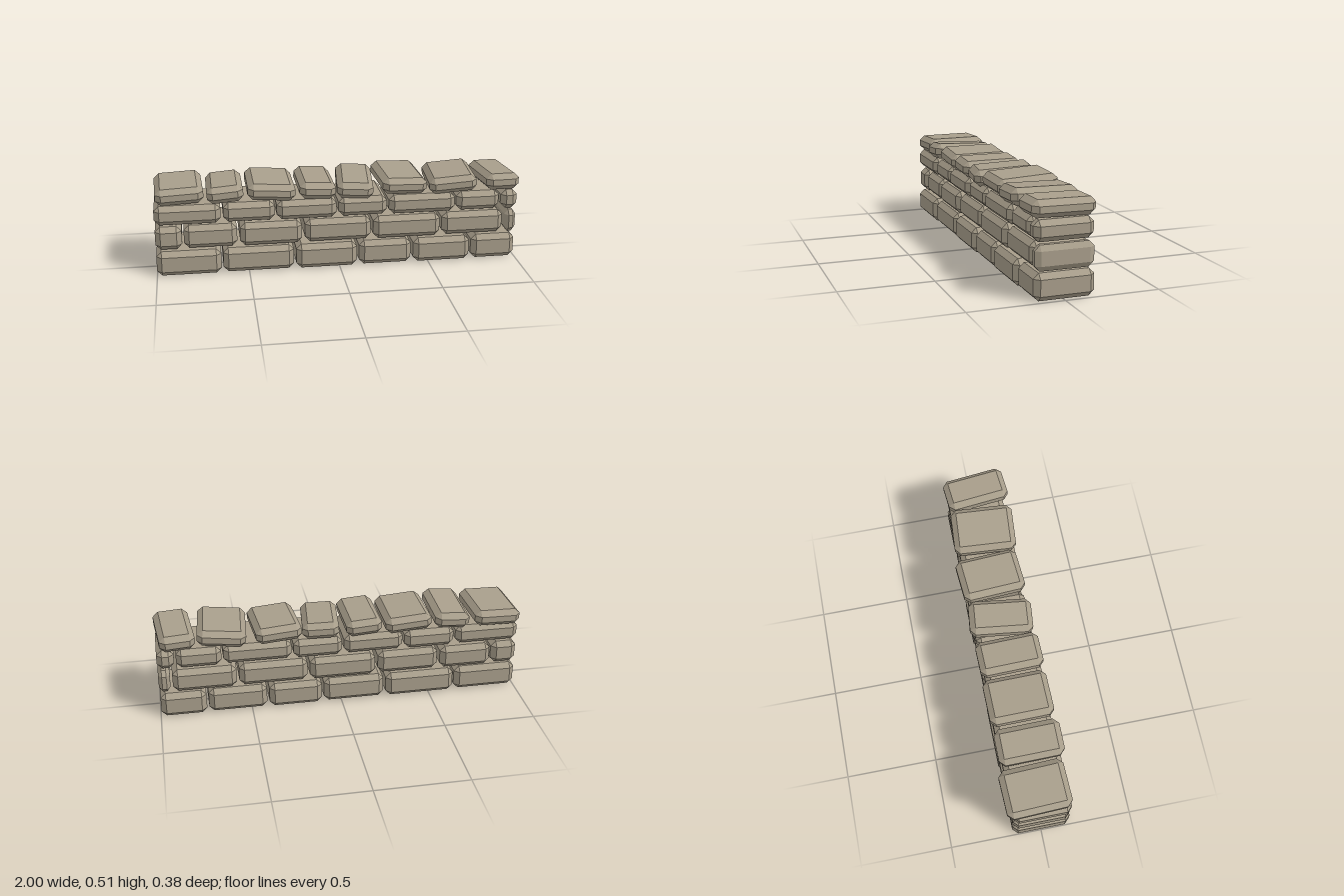
import * as THREE from 'three';

const stone = new THREE.MeshStandardMaterial({ color: 0xa89e8b, side: THREE.DoubleSide });
stone.name = 'weathered stone';

// Box with every edge and corner bevelled; the base can be left open
function bevelledBox(w, h, d, bevel, openBase = false) {
  const half = [w / 2, h / 2, d / 2];
  const cut = half.map((v) => Math.min(bevel, v * 0.62));
  const out = [];

  // Corner point lying on the face of one axis
  const point = (axis, signs) => new THREE.Vector3(
    ...signs.map((s, i) => s * (half[i] - (i === axis ? 0 : cut[i]))));

  // Add a convex polygon wound to face outwards
  const face = (...p) => {
    const normal = p[1].clone().sub(p[0]).cross(p[2].clone().sub(p[0]));
    if (normal.dot(p[0]) < 0) p.reverse();
    for (let i = 1; i < p.length - 1; i++) {
      for (const v of [p[0], p[i], p[i + 1]]) out.push(v.x, v.y, v.z);
    }
  };

  for (let a = 0; a < 3; a++) {
    const b = (a + 1) % 3, c = (a + 2) % 3;
    const signs = (sa, sb, sc) => {
      const s = [0, 0, 0];
      s[a] = sa; s[b] = sb; s[c] = sc;
      return s;
    };
    for (const s of [-1, 1]) {
      // Flat side
      if (!(openBase && a === 1 && s === -1)) {
        face(...[[-1, -1], [1, -1], [1, 1], [-1, 1]].map(([u, v]) => point(a, signs(s, u, v))));
      }
      // Bevels between sides a and b
      for (const t of [-1, 1]) {
        face(point(a, signs(s, t, -1)), point(a, signs(s, t, 1)),
          point(b, signs(s, t, 1)), point(b, signs(s, t, -1)));
      }
    }
  }
  // Corner triangles
  for (const x of [-1, 1]) for (const y of [-1, 1]) for (const z of [-1, 1]) {
    face(...[0, 1, 2].map((a) => point(a, [x, y, z])));
  }

  const geometry = new THREE.BufferGeometry();
  geometry.setAttribute('position', new THREE.Float32BufferAttribute(out, 3));
  geometry.computeVertexNormals();
  return geometry;
}

export function createModel() {
  const wall = new THREE.Group();
  wall.name = 'stoneWall';

  // Level courses: each stone is [left x, right x]
  const courses = [
    { name: 'bottomCourse', y0: 0, y1: 0.14, depth: 0.317, z: 0, open: true,
      spans: [[-1, -0.65], [-0.64, -0.253], [-0.24, 0.097], [0.11, 0.402], [0.415, 0.735], [0.747, 0.995]] },
    { name: 'secondCourse', y0: 0.15, y1: 0.28, depth: 0.309, z: -0.003,
      spans: [[-1, -0.857], [-0.847, -0.56], [-0.545, -0.207], [-0.19, 0.175], [0.188, 0.563], [0.576, 0.922], [0.935, 0.997]] },
    { name: 'thirdCourse', y0: 0.292, y1: 0.4, depth: 0.312, z: 0,
      spans: [[-1, -0.645], [-0.632, -0.353], [-0.343, -0.016], [-0.005, 0.263], [0.273, 0.643], [0.653, 0.895], [0.905, 0.997]] },
  ];
  for (const { name, y0, y1, depth, z, open, spans } of courses) {
    const course = new THREE.Group();
    course.name = name;
    spans.forEach(([x0, x1], i) => {
      const mesh = new THREE.Mesh(bevelledBox(x1 - x0, y1 - y0, depth, 0.028, open), stone);
      mesh.name = 'wallStone';
      mesh.position.set((x0 + x1) / 2, (y0 + y1) / 2, z + (i % 2 ? -0.004 : 0.002));
      course.add(mesh);
    });
    wall.add(course);
  }

  // Loose capstones: x, y, z, width, depth, then pitch, yaw and roll in degrees
  const caps = [
    [-0.865, 0.45, -0.016, 0.257, 0.345, 0, 2, 2],
    [-0.618, 0.451, 0.003, 0.195, 0.35, -2, 0, 4.5],
    [-0.37, 0.452, -0.005, 0.257, 0.345, 0, 0.5, -4],
    [-0.122, 0.45, -0.003, 0.197, 0.345, 0, 1, -3.5],
    [0.1, 0.446, -0.008, 0.198, 0.345, 3, -6, -2],
    [0.352, 0.454, -0.016, 0.25, 0.345, 2, 4, -3],
    [0.638, 0.45, 0, 0.262, 0.345, 0, -4, 5],
    [0.894, 0.45, 0.003, 0.19, 0.345, -2, 5, -1],
  ];
  const capCourse = new THREE.Group();
  capCourse.name = 'capCourse';
  const rad = THREE.MathUtils.degToRad;
  for (const [x, y, z, w, d, pitch, yaw, roll] of caps) {
    const mesh = new THREE.Mesh(bevelledBox(w, 0.09, d, 0.03), stone);
    mesh.name = 'capStone';
    mesh.position.set(x, y, z);
    mesh.rotation.set(rad(pitch), rad(yaw), rad(roll));
    capCourse.add(mesh);
  }
  wall.add(capCourse);
  return wall;
}
